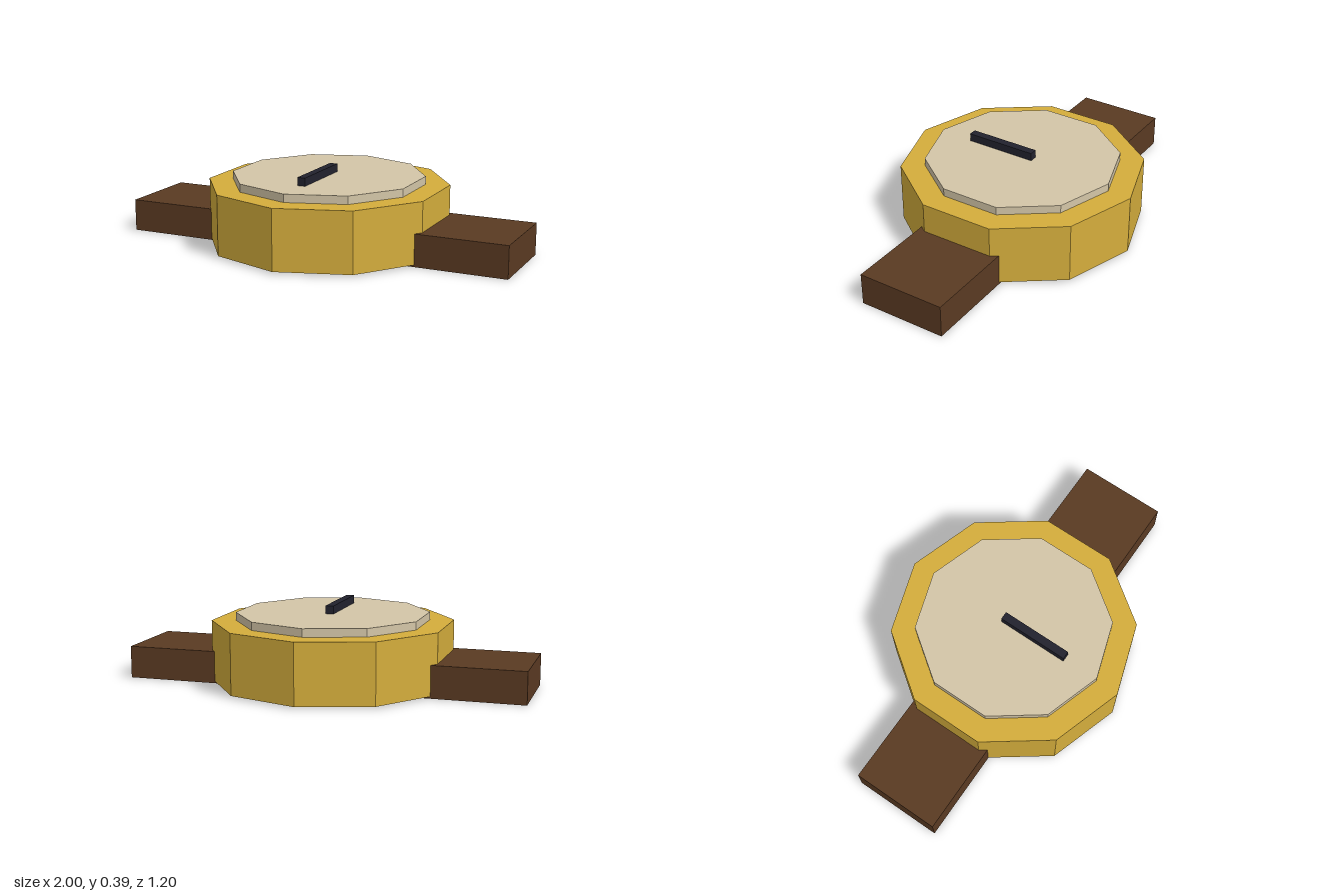
import * as THREE from 'three';

const material = (name, color) => {
  const m = new THREE.MeshStandardMaterial({ color, flatShading: true });
  m.name = name;
  return m;
};

export function createModel() {
  const group = new THREE.Group();
  group.name = 'wristwatch';

  const gold = material('gold', 0xd4ad3c);
  const cream = material('cream', 0xd3c5a7);
  const leather = material('brown leather', 0x5a3a22);
  const dark = material('dark navy', 0x22222e);

  const add = (name, geometry, mat, y, z = 0) => {
    const mesh = new THREE.Mesh(geometry, mat);
    mesh.name = name;
    mesh.position.set(0, y, z);
    group.add(mesh);
  };
  // ten-sided drum standing between two heights, one corner facing front
  const drum = (name, radius, bottom, top, mat) =>
    add(name, new THREE.CylinderGeometry(radius, radius, top - bottom, 10), mat, (top + bottom) / 2);

  // Strap runs straight through beneath the case
  add('strap', new THREE.BoxGeometry(2, 0.16, 0.44), leather, 0.08);

  // Case, with the dial core reaching through to the back
  drum('case', 0.6, 0.01, 0.31, gold);
  drum('dial', 0.48, 0.009, 0.35, cream);

  // Single hand pointing to the front
  add('hand', new THREE.BoxGeometry(0.04, 0.04, 0.36), dark, 0.37, 0.12);

  return group;
}
